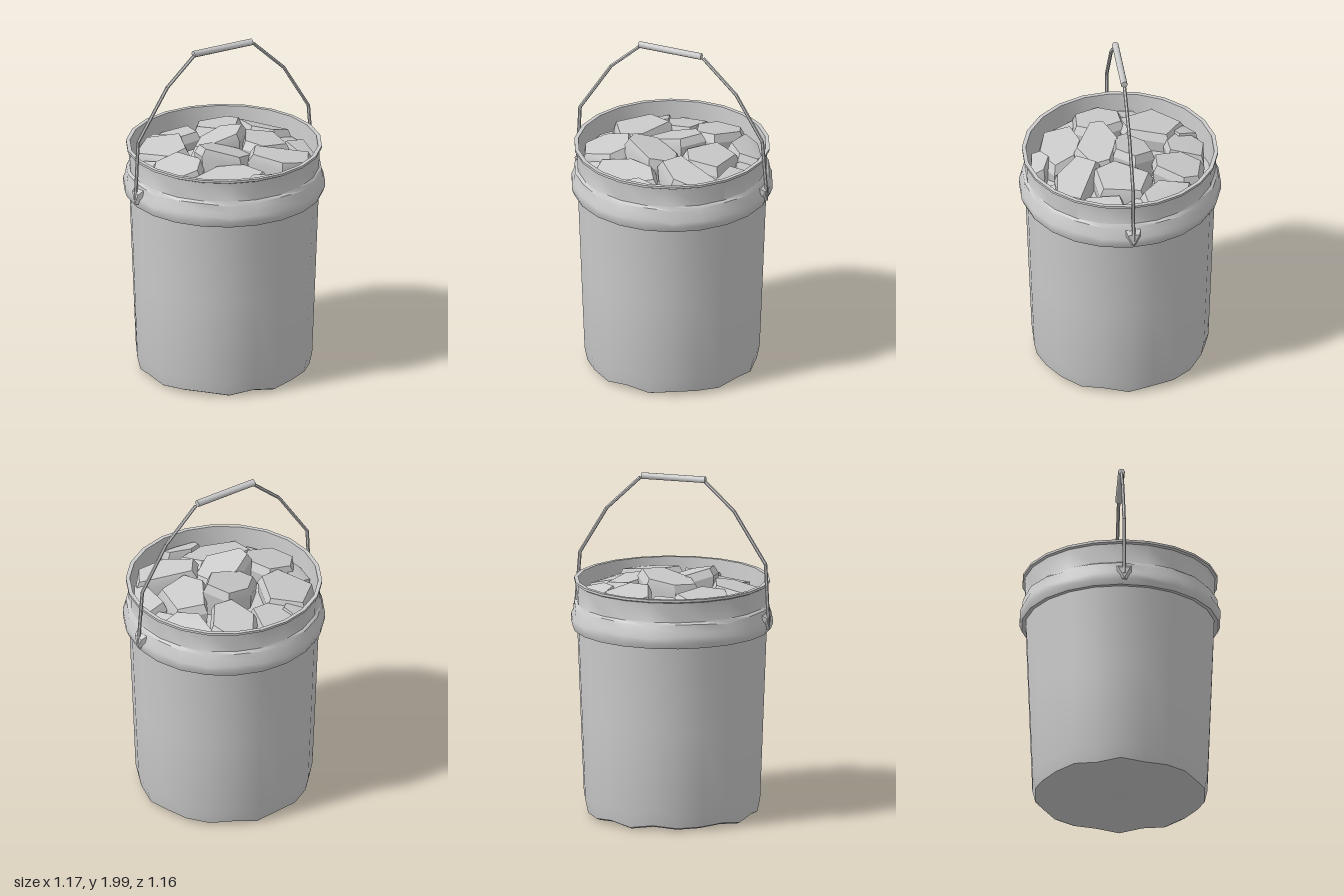
import * as THREE from 'three';
import { toCreasedNormals } from 'three/addons/utils/BufferGeometryUtils.js';
import { ConvexGeometry } from 'three/addons/geometries/ConvexGeometry.js';

const V = (x, y, z) => new THREE.Vector3(x, y, z);
const grey = new THREE.MeshStandardMaterial({ color: 0xcccccc, side: THREE.DoubleSide });

function add(parent, name, geometry) {
  const mesh = new THREE.Mesh(geometry, grey);
  mesh.name = name;
  parent.add(mesh);
  return mesh;
}

// Small seeded generator for irregular stones
let seed = 7;
const rand = () => (seed = (seed * 16807) % 2147483647) / 2147483647;

// Tapered rod between two points
function rod(parent, name, a, b, r0, r1 = r0, sides = 6) {
  const dir = b.clone().sub(a);
  const geometry = new THREE.CylinderGeometry(r1, r0, dir.length(), sides);
  const mesh = add(parent, name, toCreasedNormals(geometry, 1.1));
  mesh.position.copy(a).add(b).multiplyScalar(0.5);
  mesh.quaternion.setFromUnitVectors(V(0, 1, 0), dir.normalize());
  return mesh;
}

// Bucket: underside, wall, bulging collar, lip, inner wall and hidden floor
function bucketGeometry() {
  const profile = [
    [0, 0.02], [0.47, 0.02], [0.49, 0.03], [0.507, 0.11], [0.526, 0.6], [0.545, 1.1],
    [0.568, 1.1], [0.58, 1.13], [0.58, 1.165], [0.568, 1.19], [0.562, 1.235], [0.546, 1.25],
    [0.55, 1.365], [0.563, 1.372], [0.563, 1.386], [0.54, 1.386], [0.525, 1.19], [0, 1.19],
  ].map(([r, y]) => new THREE.Vector2(r, y));
  const geometry = new THREE.LatheGeometry(profile, 22);
  const p = geometry.attributes.position;
  for (let i = 0; i < p.count; i++) {
    const x = p.getX(i), y = p.getY(i), z = p.getZ(i);
    const r = Math.hypot(x, z), a = Math.atan2(x, z);
    // worn, scalloped bottom edge and slightly uneven collar
    if (y < 0.2 && r > 0.4) p.setY(i, y + (y < 0.05 ? 0.012 : 0.02) * Math.cos(a * 9));
    if (y > 1.15 && y < 1.24 && r > 0.55) p.setY(i, y + 0.008 * Math.sin(a * 7));
  }
  return toCreasedNormals(geometry, 0.75);
}

// Angular stone: convex hull of three irregular rings with a tilted top
function stoneGeometry([x, z, rx, rz, turn, top, tiltX = 0, tiltZ = 0]) {
  const points = [];
  const c = Math.cos(turn), s = Math.sin(turn);
  const sides = 5 + Math.floor(rand() * 2);
  for (let i = 0; i < sides; i++) {
    const a = ((i + 0.5 * rand()) / sides) * Math.PI * 2;
    const k = 1.0 + 0.25 * rand();
    for (const [scale, drop] of [[0.86, 0], [1.02, 0.05], [0.95, 0.3]]) {
      const u = Math.cos(a) * rx * k * scale, v = Math.sin(a) * rz * k * scale;
      const dx = u * c - v * s, dz = u * s + v * c;
      let px = x + dx, pz = z + dz;
      const fit = Math.min(1, 0.515 / Math.hypot(px, pz));
      px *= fit;
      pz *= fit;
      points.push(V(px, Math.max(1.2, top - drop + tiltX * dx + tiltZ * dz), pz));
    }
  }
  return toCreasedNormals(new ConvexGeometry(points), 0.45);
}

export function createModel() {
  const model = new THREE.Group();
  model.name = 'bucketOfStones';
  add(model, 'bucket', bucketGeometry());

  // Stones: x, z, half width, half depth, turn, height of top, slopes in x and z
  const stones = new THREE.Group();
  stones.name = 'stones';
  model.add(stones);
  [
    [-0.32, -0.16, 0.17, 0.17, 0.3, 1.35, 0.15, 0.05],
    [0.09, -0.34, 0.15, 0.14, 0.7, 1.36, 0.05, 0.2],
    [-0.01, -0.07, 0.16, 0.11, -0.4, 1.41, 0.25, 0.1],
    [0.25, -0.03, 0.15, 0.16, 0.2, 1.37, -0.15, 0.05],
    [-0.04, 0.13, 0.16, 0.12, 0.1, 1.40, -0.3, 0.05],
    [-0.34, 0.15, 0.15, 0.15, 0.6, 1.35, 0.2, -0.1],
    [-0.11, 0.35, 0.22, 0.13, 0, 1.33, 0.05, -0.2],
    [0.27, 0.25, 0.19, 0.12, 0.25, 1.37, -0.15, -0.1],
    [0.36, -0.29, 0.12, 0.17, -0.5, 1.33, -0.2, 0.15],
    [0.46, 0.08, 0.08, 0.16, -0.1, 1.32, -0.2, 0],
    [-0.15, -0.38, 0.14, 0.15, 0.2, 1.32, 0.1, 0.2],
    [-0.34, -0.36, 0.11, 0.1, 0.8, 1.31, 0.2, 0.2],
    [0.07, 0.47, 0.12, 0.06, 0, 1.33, 0, -0.3],
    [-0.47, 0.02, 0.08, 0.1, 0.3, 1.3, 0.3, 0],
    [0.34, 0.38, 0.1, 0.1, -0.6, 1.29, -0.2, -0.2],
    [-0.37, 0.33, 0.1, 0.1, 0.5, 1.28, 0.2, -0.2],
    [0.45, -0.13, 0.08, 0.1, 0, 1.29, -0.2, 0],
    [0, 0, 0.46, 0.46, 0, 1.25],
  ].forEach((stone) => add(stones, 'stone', stoneGeometry(stone)));

  // Bail handle: bent wire on each side, running slightly askew to the front
  const handle = new THREE.Group();
  handle.name = 'handle';
  model.add(handle);
  const onHandle = ([x, y]) => V(x, y, -0.176 * x);
  const wires = [
    [[-0.577, 1.16], [-0.56, 1.51], [-0.37, 1.81], [-0.19, 1.975]],
    [[0.577, 1.16], [0.55, 1.5], [0.39, 1.77], [0.19, 1.965]],
  ];
  for (const wire of wires) {
    const path = wire.map(onHandle);
    for (let i = 0; i < 3; i++) rod(handle, 'handleWire', path[i], path[i + 1], 0.01);
  }
  rod(handle, 'grip', onHandle([-0.2, 1.98]), onHandle([0.18, 1.975]), 0.02, 0.02, 8);

  // Wedge-shaped lugs holding the wire ends
  for (const side of [-1, 1]) {
    const lug = add(model, 'lug', new ConvexGeometry([
      V(0.535, 1.12, -0.05), V(0.535, 1.12, 0.05), V(0.535, 1.235, -0.05), V(0.535, 1.235, 0.05),
      V(0.592, 1.13, 0), V(0.588, 1.2, -0.035), V(0.588, 1.2, 0.035),
    ]));
    lug.rotation.y = 0.175 + (side < 0 ? Math.PI : 0);
  }
  return model;
}
